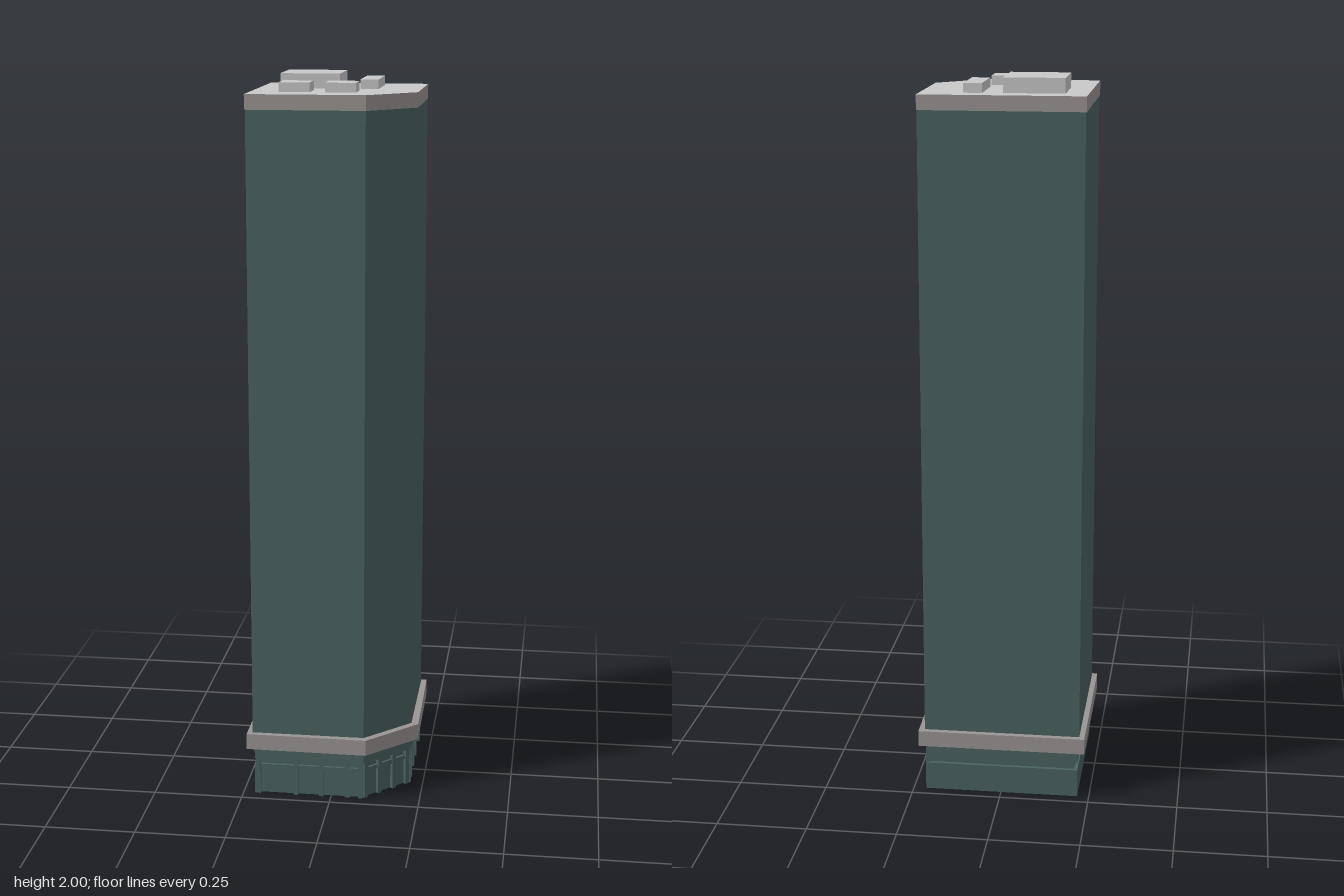
import * as THREE from 'three';

const mat = (name, color) => {
  const m = new THREE.MeshStandardMaterial({ color });
  m.name = name;
  return m;
};

export function createModel() {
  const tower = new THREE.Group();
  tower.name = 'tower';
  const green = mat('dark green glass', 0x4b6461);
  const stone = mat('grey stone', 0x9a9694);
  const pale = mat('pale roof', 0xc9c9c9);

  // Square plan with one corner cut off, as [x, z] points
  const plan = (back, front, cut) => [
    [-back, -back], [front, -back], [front, cut], [cut, front], [-back, front],
  ];

  // Upright prism over a plan; materials are [caps, sides] or one for both
  function prism(name, points, y0, y1, material) {
    const shape = new THREE.Shape(points.map(([x, z]) => new THREE.Vector2(x, -z)));
    const geo = new THREE.ExtrudeGeometry(shape, { depth: y1 - y0, bevelEnabled: false });
    geo.rotateX(-Math.PI / 2).translate(0, y0, 0);
    const mesh = new THREE.Mesh(geo, material);
    mesh.name = name;
    tower.add(mesh);
  }

  function box(name, x, y, z, w, h, d, material, turn = 0) {
    const mesh = new THREE.Mesh(new THREE.BoxGeometry(w, h, d), material);
    mesh.name = name;
    mesh.position.set(x, y, z);
    mesh.rotation.y = turn;
    tower.add(mesh);
  }

  // Ground floor: recessed core, plain back and side walls, ledge above a groove
  prism('baseCore', plan(0.207, 0.205, 0.088), 0, 0.14, green);
  prism('baseLedge', plan(0.217, 0.215, 0.092), 0.105, 0.14, green);
  box('baseBackWall', -0.001, 0.04, -0.211, 0.432, 0.08, 0.012, green);
  box('baseSideWall', -0.211, 0.04, -0.001, 0.012, 0.08, 0.432, green);

  // Shopfront mullions and rails on the front, the right and the cut corner
  for (const p of [-0.207, -0.1, -0.028, 0.046, 0.084]) {
    box('frontMullion', p, 0.053, 0.209, 0.013, 0.106, 0.012, green);
    box('rightMullion', 0.209, 0.053, p, 0.012, 0.106, 0.013, green);
  }
  box('frontRail', -0.06, 0.083, 0.208, 0.3, 0.012, 0.01, green);
  box('rightRail', 0.208, 0.083, -0.06, 0.01, 0.012, 0.3, green);
  for (const t of [-0.075, -0.026, 0.026, 0.075]) {
    const s = t * Math.SQRT1_2;
    box('cornerMullion', 0.149 + s, 0.053, 0.149 - s, 0.013, 0.106, 0.012, green, Math.PI / 4);
  }
  box('cornerRail', 0.148, 0.083, 0.148, 0.16, 0.012, 0.01, green, Math.PI / 4);

  // Stone band, shaft and roof slab
  prism('stoneBand', [
    [-0.237, -0.238], [0.232, -0.238], [0.236, 0.1], [0.1, 0.235], [-0.237, 0.231],
  ], 0.14, 0.185, stone);
  prism('shaft', plan(0.222, 0.216, 0.093), 0.185, 1.92, green);
  prism('roofSlab', plan(0.224, 0.217, 0.094), 1.92, 1.96, [pale, stone]);

  // Rooftop plant: x0, x1, z0, z1, top
  for (const [x0, x1, z0, z1, top] of [
    [-0.163, -0.001, -0.162, 0, 2],
    [0.053, 0.102, -0.168, -0.005, 1.985],
    [-0.147, -0.065, 0.05, 0.132, 1.985],
    [-0.024, 0.057, 0.05, 0.132, 1.985],
  ]) {
    box('roofUnit', (x0 + x1) / 2, (1.96 + top) / 2, (z0 + z1) / 2, x1 - x0, top - 1.96, z1 - z0, pale);
  }
  return tower;
}
